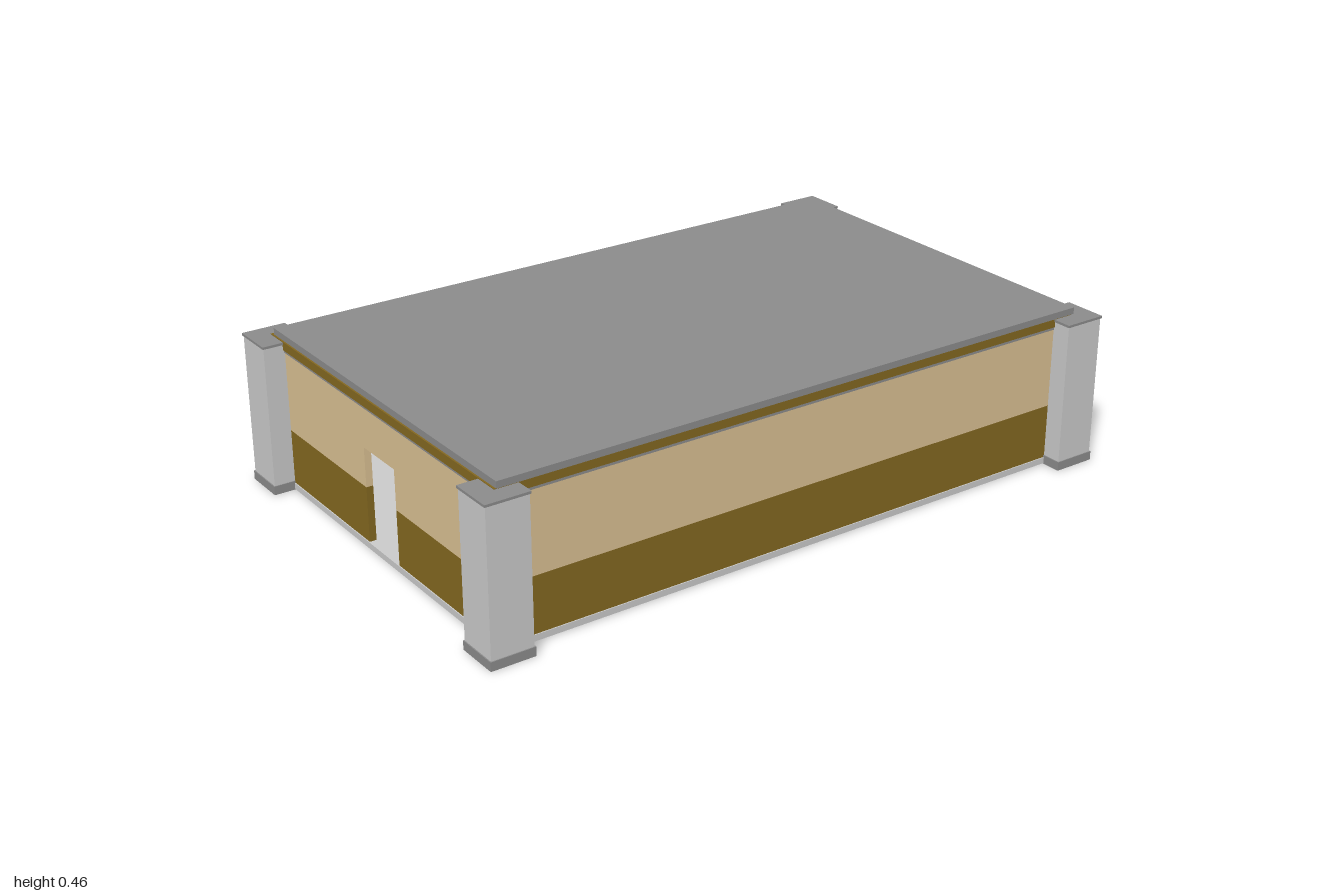
import * as THREE from 'three';

const mat = (color) => new THREE.MeshStandardMaterial({ color });
const stone = mat(0xcccccc);
const slate = mat(0x8c8c8c);
const tan = mat(0xdbc193);
const brown = mat(0x846820);

// Box given by its lower and upper corners
function box(name, material, [x0, y0, z0], [x1, y1, z1]) {
  const mesh = new THREE.Mesh(new THREE.BoxGeometry(x1 - x0, y1 - y0, z1 - z0), material);
  mesh.position.set((x0 + x1) / 2, (y0 + y1) / 2, (z0 + z1) / 2);
  mesh.name = name;
  return mesh;
}

const X = 0.935, Z = 0.58, T = 0.02; // outer faces and thickness of the walls
const DOOR = 0.08, DOOR_TOP = 0.295;
const FLOOR = 0.02, BAND = 0.18, TAN_TOP = 0.412, LEDGE_TOP = 0.42, TOP = 0.445;

// Long wall, side = 1 front, -1 back
function longWall(side) {
  const wall = new THREE.Group();
  wall.name = side > 0 ? 'frontWall' : 'backWall';
  const za = Math.min(side * Z, side * (Z - T)), zb = za + T;
  wall.add(
    box('lowerBand', brown, [-X, FLOOR, za], [X, BAND, zb]),
    box('upperBand', tan, [-X, BAND, za], [X, TAN_TOP, zb])
  );
  return wall;
}

// End wall with a doorway, side = 1 left, -1 right
function endWall(side) {
  const wall = new THREE.Group();
  wall.name = side > 0 ? 'leftWall' : 'rightWall';
  const xa = Math.min(side * X, side * (X - T)), xb = xa + T, z = Z - T;
  for (const [z0, z1] of [[-z, -DOOR], [DOOR, z]]) {
    wall.add(box('lowerBand', brown, [xa, FLOOR, z0], [xb, BAND, z1]));
  }
  // Upper band notched around the doorway
  const shape = new THREE.Shape([
    [-z, BAND], [-DOOR, BAND], [-DOOR, DOOR_TOP], [DOOR, DOOR_TOP],
    [DOOR, BAND], [z, BAND], [z, TAN_TOP], [-z, TAN_TOP]
  ].map(([a, b]) => new THREE.Vector2(a, b)));
  const upper = new THREE.Mesh(new THREE.ExtrudeGeometry(shape, { depth: T, bevelEnabled: false }), tan);
  upper.rotation.y = Math.PI / 2;
  upper.position.x = xa;
  upper.name = 'upperBand';
  wall.add(upper);
  return wall;
}

// Corner pillar with a plinth and a thin cap
function pillar(sx, sz) {
  const group = new THREE.Group();
  group.name = 'cornerPillar';
  const parts = [
    ['plinth', slate, 0.128, 0, 0.026],
    ['shaft', stone, 0.122, 0.026, 0.436],
    ['cap', slate, 0.128, 0.436, 0.443]
  ];
  for (const [name, material, w, y0, y1] of parts) {
    group.add(box(name, material, [-w / 2, y0, -w / 2], [w / 2, y1, w / 2]));
  }
  group.position.set(sx * 0.936, 0, sz * 0.576);
  return group;
}

export function createModel() {
  const model = new THREE.Group();
  model.name = 'building';
  model.add(box('floorSlab', stone, [-X - 0.003, 0.002, -Z - 0.003], [X + 0.003, FLOOR, Z + 0.003]));
  for (const s of [1, -1]) {
    model.add(longWall(s), endWall(s));
    for (const t of [1, -1]) model.add(pillar(s, t));
  }
  // Ledge, fascia and roof closing the top
  model.add(
    box('ledge', slate, [-X - 0.002, TAN_TOP, -Z - 0.002], [X + 0.002, LEDGE_TOP, Z + 0.002]),
    box('fascia', brown, [-0.94, LEDGE_TOP, -0.586], [0.94, TOP, 0.584]),
    box('roof', slate, [-0.935, TOP, -0.575], [0.943, 0.464, 0.586])
  );
  return model;
}
